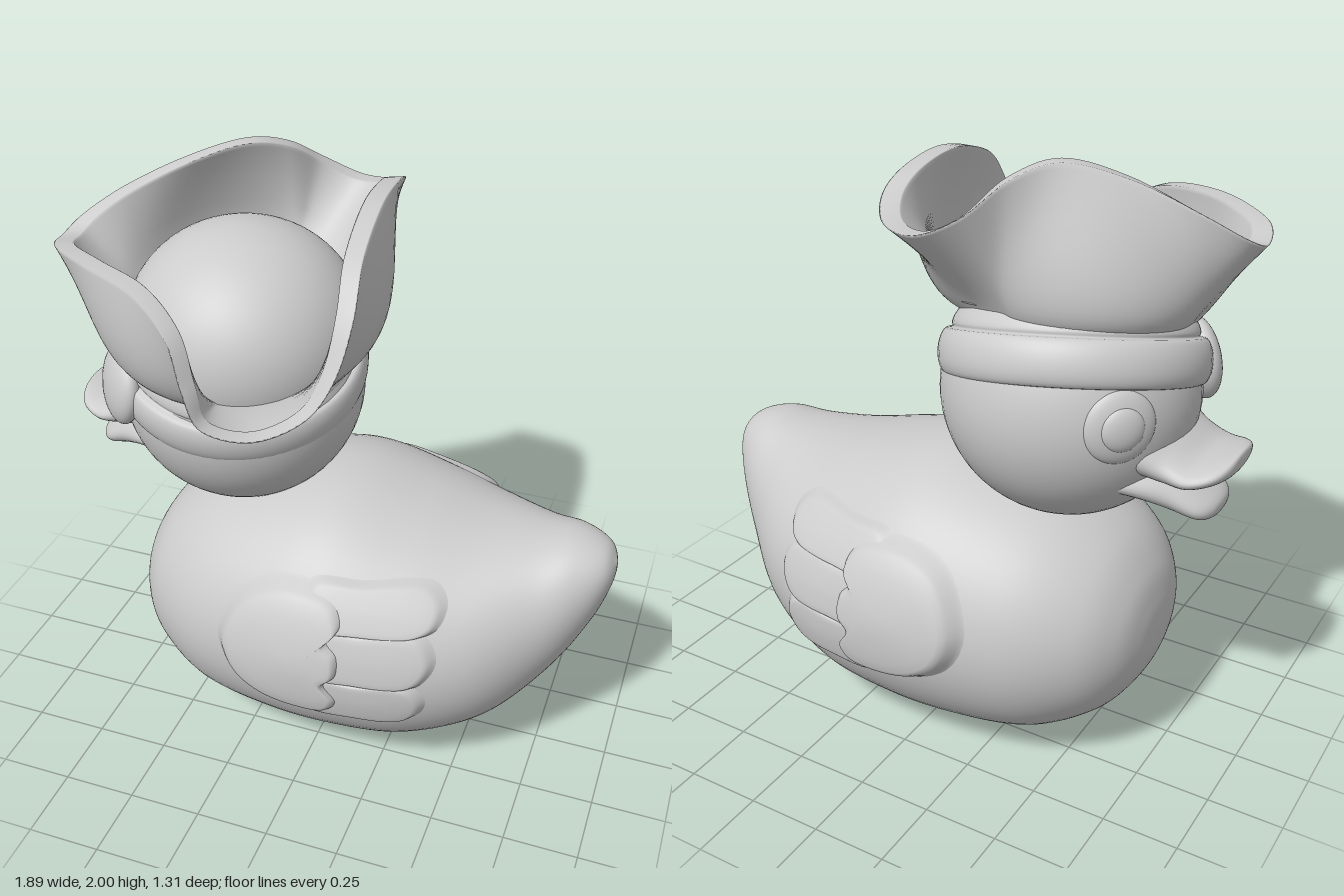
import * as THREE from 'three';
import { mergeVertices } from 'three/addons/utils/BufferGeometryUtils.js';

const CZ = -0.065; // symmetry plane of the bird
const material = new THREE.MeshStandardMaterial({ color: 0xcccccc, side: THREE.DoubleSide });
const V = (x, y, z = 0) => new THREE.Vector3(x, y, z);

function mesh(name, geometry) {
  const m = new THREE.Mesh(geometry, material);
  m.name = name;
  return m;
}

// smooth skin over rows of points, each row a closed ring
function skin(rows, flip = false) {
  const n = rows[0].length, index = [], pos = [];
  rows.forEach(r => r.forEach(p => pos.push(p.x, p.y, p.z)));
  for (let i = 0; i < rows.length - 1; i++) {
    for (let j = 0; j < n; j++) {
      const a = i * n + j, c = i * n + (j + 1) % n, b = a + n, d = c + n;
      if (flip) index.push(a, b, c, c, b, d);
      else index.push(a, c, b, c, d, b);
    }
  }
  let g = new THREE.BufferGeometry();
  g.setAttribute('position', new THREE.Float32BufferAttribute(pos, 3));
  g.setIndex(index);
  g = mergeVertices(g, 1e-5);
  g.computeVertexNormals();
  return g;
}

// sections: [topX, topY, bottomX, bottomY, halfWidth]
function profile(sections) {
  const top = new THREE.CatmullRomCurve3(sections.map(s => V(s[0], s[1], s[4])), false, 'catmullrom');
  const bottom = new THREE.CatmullRomCurve3(sections.map(s => V(s[2], s[3])), false, 'catmullrom');
  return s => ({ t: top.getPoint(s), b: bottom.getPoint(s) });
}
const FULL = 0.93; // slightly fuller than an ellipse
function loft(at, count, sides) {
  const rows = [];
  for (let i = 0; i <= count; i++) {
    const { t, b } = at(i / count), row = [];
    for (let j = 0; j < sides; j++) {
      const a = j / sides * Math.PI * 2, k = (1 + Math.cos(a)) / 2, s = Math.sin(a);
      const z = Math.max(t.z, 0) * Math.sign(s) * Math.abs(s) ** FULL;
      row.push(V(b.x + (t.x - b.x) * k, b.y + (t.y - b.y) * k, CZ + z));
    }
    rows.push(row);
  }
  return skin(rows);
}

const bodyAt = profile([
  [-0.72, 0.46, -0.72, 0.46, 0], [-0.71, 0.56, -0.71, 0.36, 0.13], [-0.675, 0.67, -0.67, 0.26, 0.25],
  [-0.58, 0.79, -0.58, 0.15, 0.37], [-0.4, 0.895, -0.4, 0.05, 0.48], [-0.15, 0.965, -0.15, 0.01, 0.535],
  [0.05, 0.985, 0.1, 0.005, 0.545], [0.3, 0.93, 0.35, 0.04, 0.51], [0.5, 0.885, 0.6, 0.165, 0.42],
  [0.68, 0.875, 0.78, 0.37, 0.28], [0.8, 0.885, 0.89, 0.575, 0.18], [0.9, 0.855, 0.938, 0.72, 0.092],
  [0.945, 0.8, 0.945, 0.8, 0]]);

// half width of the body at a side-view point
function bodyHalfWidth(x, y) {
  let lo = 0.15, hi = 0.85, v = 0, w = 0;
  for (let i = 0; i < 24; i++) {
    const s = (lo + hi) / 2, { t, b } = bodyAt(s);
    v = (y - b.y) / (t.y - b.y);
    w = t.z;
    if (b.x + (t.x - b.x) * v < x) lo = s; else hi = s;
  }
  return w * Math.max(0, 1 - (2 * v - 1) ** 2) ** (FULL / 2);
}

// raised patch that follows the body side; side is +1 or -1
function relief(outline, height, side) {
  const curve = new THREE.CatmullRomCurve3(outline.map(p => V(...p)), true, 'centripetal');
  const ring = curve.getPoints(96).slice(0, -1);
  const c = ring.reduce((s, p) => s.add(p), V(0, 0)).divideScalar(ring.length);
  const rows = [1.04, 1, 0.97, 0.94, 0.9, 0.86, 0.8, 0.65, 0.45, 0.2, 0].map(t => ring.map(p => {
    const x = c.x + (p.x - c.x) * t, y = c.y + (p.y - c.y) * t;
    const rise = 1 - THREE.MathUtils.smoothstep(t, 0.82, 1.04);
    return V(x, y, CZ + side * (bodyHalfWidth(x, y) - 0.004 + (height + 0.004) * rise));
  }));
  return skin(rows, side < 0);
}

function wing(side) {
  const g = new THREE.Group();
  g.name = side > 0 ? 'frontSideWing' : 'backSideWing';
  g.add(mesh('wingShoulder', relief([
    [-0.28, 0.57], [-0.24, 0.45], [-0.14, 0.375], [0.02, 0.345], [0.13, 0.355], [0.165, 0.41], [0.125, 0.485],
    [0.165, 0.53], [0.165, 0.61], [0.125, 0.66], [0.165, 0.71], [0.13, 0.78], [-0.05, 0.805], [-0.2, 0.74]], 0.05, side)));
  for (const [lo, hi, end] of [[0.33, 0.51, 0.435], [0.49, 0.685, 0.46], [0.665, 0.815, 0.465]]) {
    const mid = (lo + hi) / 2;
    g.add(mesh('wingFeather', relief([
      [0.02, lo + 0.015], [0.2, lo], [end - 0.06, lo + 0.005], [end - 0.01, mid - 0.04], [end, mid + 0.02],
      [end - 0.05, hi - 0.005], [0.2, hi], [0.02, hi - 0.01]], 0.027, side)));
  }
  return g;
}

// cocked hat: brim folded up on three sides
function hat() {
  const g = new THREE.Group();
  g.name = 'hat';
  // rim points: x, y, z, outward bulge of the side below
  const rim = [
    [-0.915, 1.75, 0.08, 0.1], [-0.86, 1.775, 0.23, 0.3], [-0.68, 1.795, 0.37, 0.6], [-0.48, 1.78, 0.465, 0.75],
    [-0.33, 1.71, 0.56, 0.75], [-0.255, 1.58, 0.625, 0.7], [-0.19, 1.485, 0.65, 0.6], [-0.05, 1.455, 0.615, 0.6],
    [0.08, 1.505, 0.535, 0.7], [0.145, 1.61, 0.46, 0.85], [0.165, 1.75, 0.36, 1], [0.14, 1.87, 0.2, 1.05],
    [0.115, 1.935, -0.05, 1.05], [0.095, 1.925, -0.28, 0.7], [0.07, 1.88, -0.43, 0.3], [0, 1.83, -0.53, 0.05],
    [-0.12, 1.82, -0.56, 0], [-0.25, 1.88, -0.52, 0.05], [-0.33, 1.965, -0.4, 0.3], [-0.43, 2, -0.28, 0.5],
    [-0.6, 1.95, -0.18, 0.55], [-0.78, 1.86, -0.1, 0.4], [-0.89, 1.785, -0.02, 0.2]];
  const edge = new THREE.CatmullRomCurve3(rim.map(r => V(r[0], r[1], r[2])), true, 'catmullrom');
  const bulge = new THREE.CatmullRomCurve3(rim.map(r => V(r[3], 0)), true, 'catmullrom');
  const N = 160, cols = [];
  for (let i = 0; i < N; i++) {
    const p = edge.getPoint(i / N), b = bulge.getPoint(i / N).x;
    const q = edge.getPoint((i + 3) / N).sub(edge.getPoint((i + N - 3) / N));
    const out = V(p.x + 0.36, 0, p.z).normalize();
    const inward = V(q.z, 0, -q.x).normalize().sub(out).normalize();
    const base = V(-0.36 + 0.345 * out.x, 0, 0.34 * out.z);
    base.y = 1.45 - 0.21 * (base.z + 0.02) - 0.05 * (base.x + 0.36);
    const control = base.clone().addScaledVector(out, 0.03 + 0.2 * b);
    control.y += 0.1 - 0.07 * b;
    const side = new THREE.QuadraticBezierCurve3(base, control, p);
    const col = [];
    for (let k = 0; k <= 16; k++) col.push(side.getPoint(k / 16));
    col.splice(16, 0, side.getPoint(0.985));
    col.push(p.clone().addScaledVector(inward, 0.004).add(V(0, 0.003, 0)));
    col.push(p.clone().addScaledVector(inward, 0.058).add(V(0, 0.003, 0)));
    for (const t of [1, 0.985, 0.94, 0.85, 0.7, 0.55, 0.4, 0.25, 0.1])
      col.push(side.getPoint(t).addScaledVector(inward, 0.062));
    cols.push(col);
  }
  g.add(mesh('hatBrim', skin(cols[0].map((_, k) => cols.map(c => c[k])))));
  // broad rounded crown inside the brim
  const crown = mesh('hatCrown', new THREE.SphereGeometry(1, 48, 20, 0, Math.PI * 2, 0, Math.PI / 2));
  crown.scale.set(0.385, 0.345, 0.385);
  crown.position.set(-0.315, 1.495, 0.03);
  crown.rotation.set(0.2, 0, -0.08);
  g.add(crown);
  return g;
}

// flattened ball lying on the head, facing outward
function headDisc(name, center, dir, distance, width, height, depth) {
  const m = mesh(name, new THREE.SphereGeometry(1, 36, 24));
  const d = dir.clone().normalize();
  m.position.copy(center).addScaledVector(d, distance);
  m.lookAt(m.position.clone().add(d));
  m.scale.set(width, height, depth);
  return m;
}

export function createModel() {
  const model = new THREE.Group();
  model.name = 'duckWithHat';
  model.add(mesh('body', loft(bodyAt, 96, 72)), wing(1), wing(-1));

  const headCenter = V(-0.37, 1.25, CZ);
  const head = mesh('head', new THREE.SphereGeometry(0.41, 56, 40));
  head.position.copy(headCenter);
  model.add(head);

  // bill, listed from tip to root
  model.add(mesh('upperBill', loft(profile([
    [-0.95, 1.14, -0.95, 1.14, 0], [-0.943, 1.16, -0.943, 1.105, 0.09], [-0.91, 1.155, -0.91, 1.08, 0.155],
    [-0.84, 1.15, -0.84, 1.055, 0.19], [-0.77, 1.19, -0.76, 1.05, 0.195], [-0.7, 1.24, -0.69, 1.06, 0.22],
    [-0.6, 1.26, -0.6, 1.08, 0.26]]), 36, 40)));
  model.add(mesh('lowerBill', loft(profile([
    [-0.9, 0.97, -0.9, 0.97, 0], [-0.892, 0.995, -0.888, 0.94, 0.07], [-0.86, 1.025, -0.85, 0.93, 0.12],
    [-0.78, 1.085, -0.77, 0.95, 0.155], [-0.7, 1.11, -0.69, 0.98, 0.2], [-0.6, 1.12, -0.6, 1.01, 0.25]]), 32, 36)));

  // slanted head scarf: puffy band with a flatter layer above
  const bandShape = new THREE.CatmullRomCurve3([
    V(0.37, -0.085), V(0.405, -0.08), V(0.423, -0.045), V(0.423, 0.015), V(0.405, 0.055), V(0.382, 0.062),
    V(0.384, 0.075), V(0.375, 0.1), V(0.35, 0.13), V(0.28, 0.14)], false, 'centripetal');
  const band = mesh('headBand', new THREE.LatheGeometry(
    bandShape.getPoints(40).map(p => new THREE.Vector2(p.x, p.y)), 72));
  band.position.set(-0.37, 1.355, -0.045);
  band.rotation.set(0.3, 0, -0.13);
  model.add(band);

  // patch on one side, open eye on the other
  model.add(headDisc('eyePatch', headCenter, V(-0.31, 0.06, 0.27), 0.42, 0.135, 0.135, 0.06));
  const eyeDir = V(-0.31, 0.03, -0.28);
  model.add(headDisc('eyeSocket', headCenter, eyeDir, 0.385, 0.115, 0.115, 0.042));
  model.add(headDisc('eye', headCenter, eyeDir, 0.41, 0.07, 0.07, 0.03));

  model.add(hat());
  return model;
}
